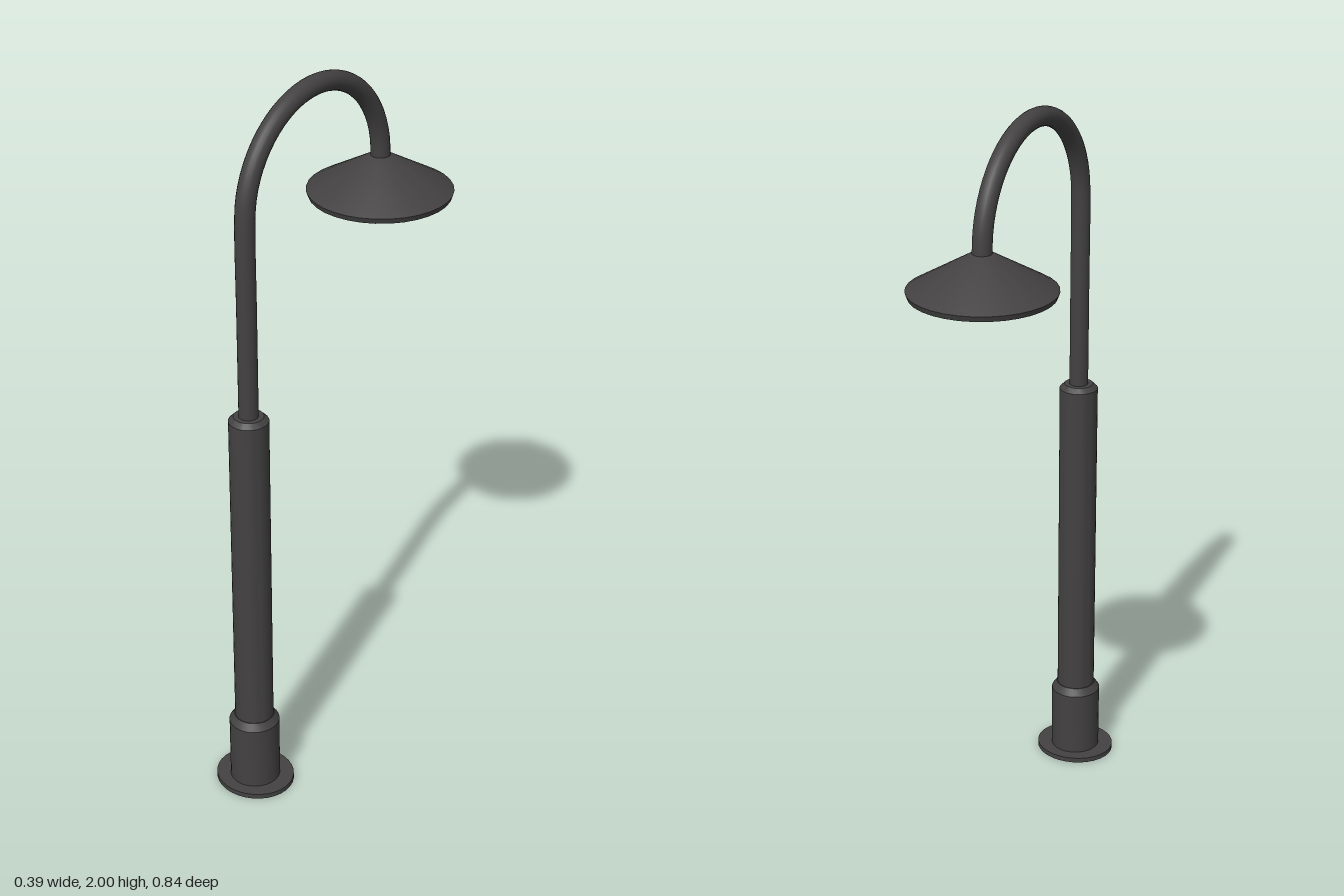
import * as THREE from 'three';
import { toCreasedNormals } from 'three/addons/utils/BufferGeometryUtils.js';

export function createModel() {
  const lamp = new THREE.Group();
  lamp.name = 'streetLamp';
  const metal = new THREE.MeshStandardMaterial({ color: 0x434142, side: THREE.DoubleSide });

  const postZ = 0.316, shadeZ = -0.228, bendY = 1.704;

  const add = (name, geometry, z = 0) => {
    const mesh = new THREE.Mesh(geometry, metal);
    mesh.name = name;
    mesh.position.z = z;
    lamp.add(mesh);
    return mesh;
  };
  // Turned part from [radius, height] pairs, with crisp edges
  const turned = (name, profile, z) => {
    const points = profile.map(([r, y]) => new THREE.Vector2(r, y));
    return add(name, toCreasedNormals(new THREE.LatheGeometry(points, 32), 0.5), z);
  };

  // Slightly oval foot plate
  const foot = turned('footPlate', [[0, 0], [0.111, 0], [0.111, 0.014], [0, 0.014]], postZ);
  foot.scale.z = 0.92;

  // Stepped post with chamfered shoulders
  turned('baseCollar', [[0.069, 0.014], [0.069, 0.2], [0.055, 0.22], [0, 0.22]], postZ);
  turned('post', [[0.053, 0.2], [0.053, 1.147], [0.04, 1.16], [0, 1.16]], postZ);

  // Gooseneck: straight riser, then a half-circle bend
  const radius = (postZ - shadeZ) / 2, midZ = (postZ + shadeZ) / 2;
  const bend = [];
  for (let i = 0; i <= 16; i++) {
    const a = (i / 16) * Math.PI;
    bend.push(new THREE.Vector3(0, bendY + radius * Math.sin(a), midZ + radius * Math.cos(a)));
  }
  const path = new THREE.CatmullRomCurve3([
    new THREE.Vector3(0, 1.15, postZ),
    new THREE.Vector3(0, 1.45, postZ),
    ...bend,
    new THREE.Vector3(0, 1.675, shadeZ),
  ], false, 'centripetal');
  add('gooseneck', new THREE.TubeGeometry(path, 56, 0.026, 20));

  // Hollow conical shade with a thin rim
  turned('shade', [
    [0, 1.688], [0.024, 1.688], [0.186, 1.598], [0.19, 1.59],
    [0.195, 1.605], [0.03, 1.7], [0, 1.704],
  ], shadeZ);

  return lamp;
}
